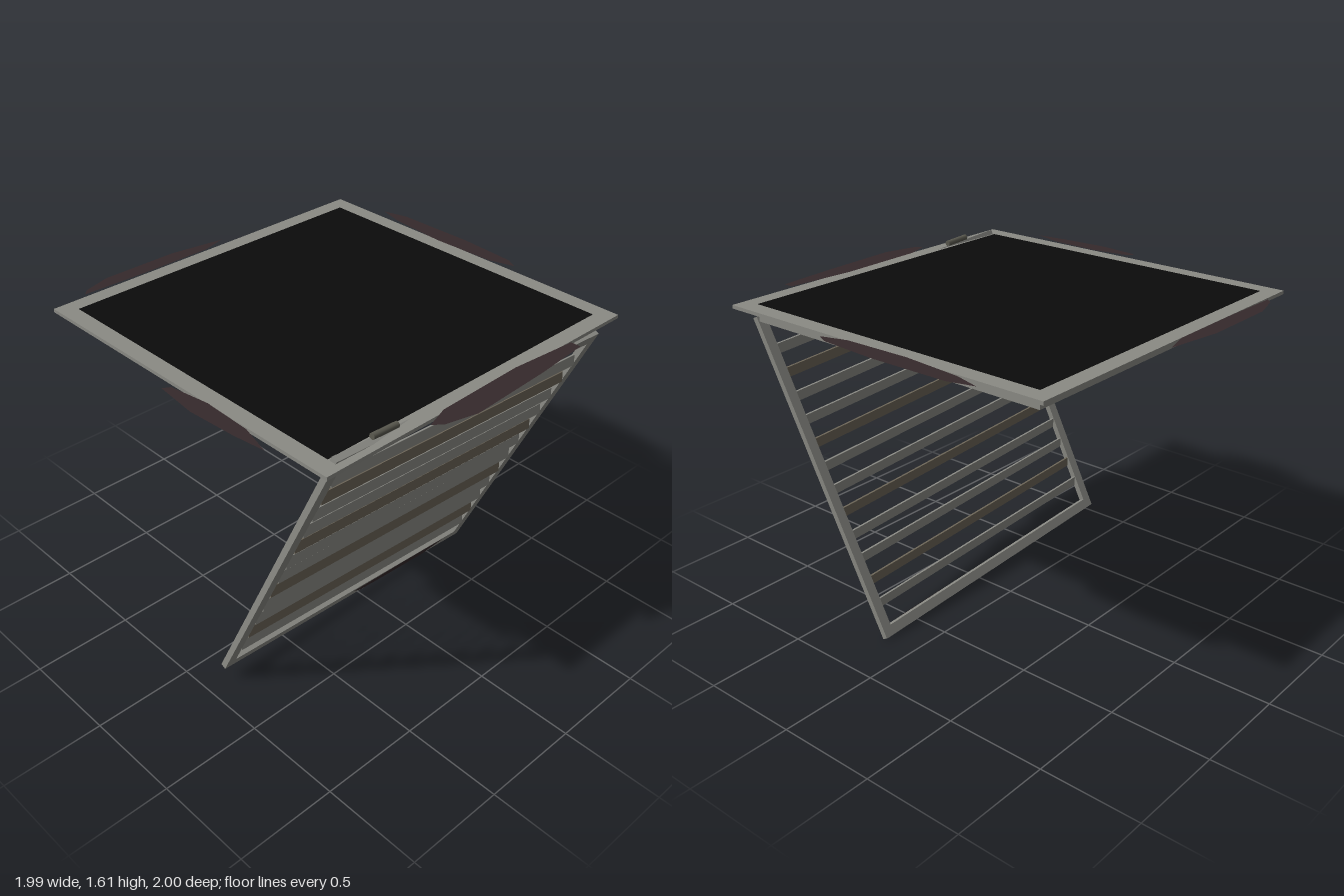
import * as THREE from 'three';

const mat = (name, color, side = THREE.FrontSide) => {
  const m = new THREE.MeshStandardMaterial({ color, side });
  m.name = name;
  return m;
};

export function createModel() {
  const grey = mat('painted grey metal', 0x8a8a84);
  const rust = mat('dirty brown metal', 0x6c6557);
  const dark = mat('dark hinge metal', 0x5a594f);
  const black = mat('black void', 0x0b0b0b);
  const soot = mat('soot', 0x35292b, THREE.DoubleSide);

  const model = new THREE.Group();
  model.name = 'hangingVent';

  const add = (parent, name, geo, material, x = 0, y = 0, z = 0) => {
    const m = new THREE.Mesh(geo, material);
    m.name = name;
    m.position.set(x, y, z);
    parent.add(m);
    return m;
  };

  // Flat square ring lying in the xz plane, bottom at y = 0
  const ring = (outer, inner, height) => {
    const square = (P, h) => new P([[-h, -h], [h, -h], [h, h], [-h, h]].map(([x, y]) => new THREE.Vector2(x, y)));
    const s = square(THREE.Shape, outer);
    s.holes.push(square(THREE.Path, inner));
    return new THREE.ExtrudeGeometry(s, { depth: height, bevelEnabled: false }).rotateX(-Math.PI / 2);
  };

  // Thin irregular stain outline
  const stain = (pts) => new THREE.ShapeGeometry(new THREE.Shape(pts.map(([x, y]) => new THREE.Vector2(x, y))));

  // Ceiling flange, duct collar and dark opening
  const housing = new THREE.Group();
  housing.name = 'housing';
  housing.position.set(-0.006, 0, -0.009);
  model.add(housing);
  add(housing, 'flange', ring(0.905, 0.8, 0.017), grey, 0, 1.56, 0);
  add(housing, 'ductCollar', ring(0.823, 0.79, 0.067), grey, 0, 1.495, 0);
  add(housing, 'ductVoid', new THREE.BoxGeometry(1.646, 0.02, 1.646), black, 0, 1.569, 0);
  for (const sx of [-1, 1]) for (const sz of [-1, 1]) {
    add(housing, 'screw', new THREE.CylinderGeometry(0.018, 0.018, 0.01, 8), grey, sx * 0.865, 1.556, sz * 0.865);
  }

  // Soot patches around the flange, as x and z pairs
  const patches = {
    backSoot: [[-0.73, -0.93], [-0.7, -0.96], [-0.56, -1], [-0.17, -1], [0.11, -0.955], [-0.02, -0.92], [-0.4, -0.92]],
    leftSoot: [[0.95, -0.63], [0.985, -0.5], [0.99, -0.1], [0.97, 0.2], [0.94, 0.26], [0.9, 0.13], [0.89, -0.2], [0.915, -0.5]],
    rightSoot: [[-0.975, -0.02], [-0.94, 0], [-0.91, 0.2], [-0.92, 0.45], [-0.965, 0.61], [-0.985, 0.45], [-1, 0.2]],
    frontSoot: [[-0.38, 0.925], [-0.26, 0.885], [0.2, 0.875], [0.54, 0.905], [0.54, 0.955], [0.25, 0.98], [-0.18, 1], [-0.34, 0.96]],
  };
  for (const [name, pts] of Object.entries(patches)) {
    add(model, name, stain(pts.map(([x, z]) => [x, -z])).rotateX(-Math.PI / 2), soot, 0, 1.58, 0);
  }

  // Grille hanging open from the front edge, slightly crooked
  const grille = new THREE.Group();
  grille.name = 'grille';
  grille.position.set(-0.007, 1.55, 0.849);
  grille.rotation.set(0.424, 0, -0.053, 'ZYX');
  model.add(grille);

  const size = 1.645, bar = 0.05, thick = 0.03;
  const inner = size - 2 * bar;
  for (const s of [-1, 1]) {
    add(grille, 'sideRail', new THREE.BoxGeometry(bar, size, thick), grey, s * (size - bar) / 2, -size / 2, 0);
    add(grille, 'crossRail', new THREE.BoxGeometry(inner, bar, thick), grey, 0, -size / 2 + s * (size - bar) / 2, 0);
    // Hinge barrels on the top rail
    add(grille, 'hinge', new THREE.CylinderGeometry(0.015, 0.015, 0.14, 10).rotateZ(Math.PI / 2), dark, s * 0.548, 0.012, -0.012);
  }

  // Louvre slats, every third one discoloured
  for (let k = 1; k <= 12; k++) {
    const slat = add(grille, 'slat', new THREE.BoxGeometry(inner, 0.052, 0.01), k % 3 === 2 ? rust : grey,
      0, bar - size + (inner * k) / 13, 0.004);
    slat.rotation.x = -0.5;
  }

  // Soot on the top and bottom rails
  add(grille, 'topRailSoot', stain([[-0.21, 0], [-0.13, -0.025], [-0.01, -0.037], [0.21, -0.041], [0.35, -0.038],
    [0.26, -0.016], [0.06, 0]]), soot, 0, 0, 0.017);
  add(grille, 'bottomRailSoot', stain([[0.005, -1.603], [0.067, -1.635], [0.19, -1.642], [0.537, -1.643],
    [0.685, -1.594], [0.4, -1.594]]), soot, 0, 0, 0.017);

  return model;
}
